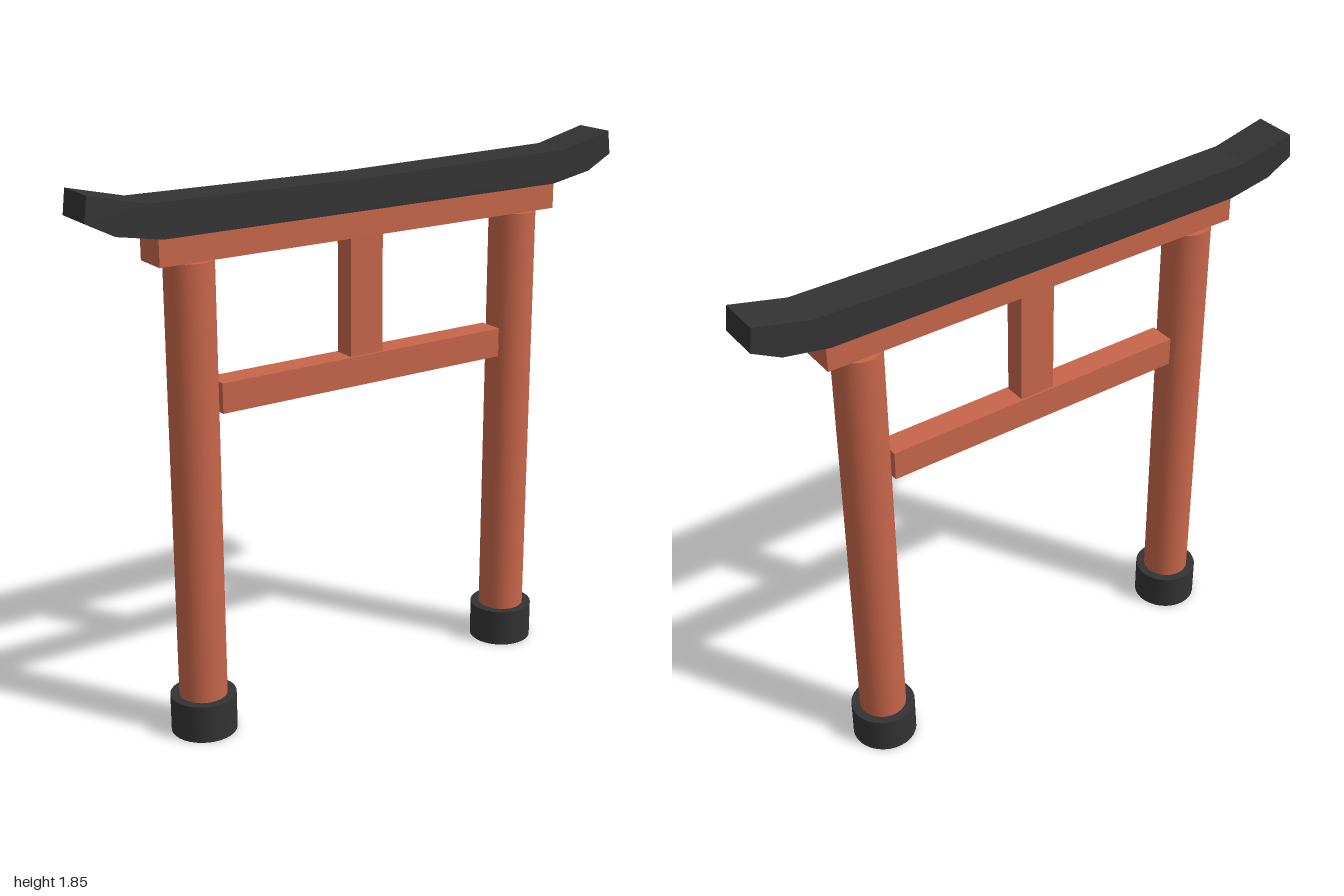
import * as THREE from 'three';

const red = new THREE.MeshStandardMaterial({ color: 0xc8664a });
const dark = new THREE.MeshStandardMaterial({ color: 0x333333 });

export function createModel() {
  const gate = new THREE.Group();
  gate.name = 'gate';

  const add = (name, geometry, material, x, y, z = 0) => {
    const mesh = new THREE.Mesh(geometry, material);
    mesh.name = name;
    mesh.position.set(x, y, z);
    gate.add(mesh);
  };
  const box = (name, w, bottom, top, depth) =>
    add(name, new THREE.BoxGeometry(w, top - bottom, depth), red, 0, (bottom + top) / 2);

  // Round pillars standing in wider footings
  for (const [side, s] of [['left', 1], ['right', -1]]) {
    add(side + 'Footing', new THREE.CylinderGeometry(0.11, 0.11, 0.13, 32), dark, s * 0.63, 0.065);
    add(side + 'Pillar', new THREE.CylinderGeometry(0.08, 0.08, 1.5, 32), red, s * 0.63, 0.85);
  }

  // Straight beams and the short strut between them
  box('tieBeam', 1.1, 1.1, 1.2, 0.09);
  box('centreStrut', 0.125, 1.2, 1.6, 0.075);
  box('upperBeam', 1.52, 1.6, 1.688, 0.12);

  // Top lintel: half outline mirrored, with upswept ends
  const half = [[0, 1.79], [0.8, 1.8], [0.99, 1.845], [1, 1.765], [0.905, 1.715], [0.75, 1.687]];
  const mirrored = half.slice(1).reverse().map(([x, y]) => [-x, y]);
  const outline = [...half, ...mirrored].map(([x, y]) => new THREE.Vector2(x, y));
  const lintel = new THREE.ExtrudeGeometry(new THREE.Shape(outline), { depth: 0.145, bevelEnabled: false });
  add('topLintel', lintel, dark, 0, 0, -0.0725);

  return gate;
}
